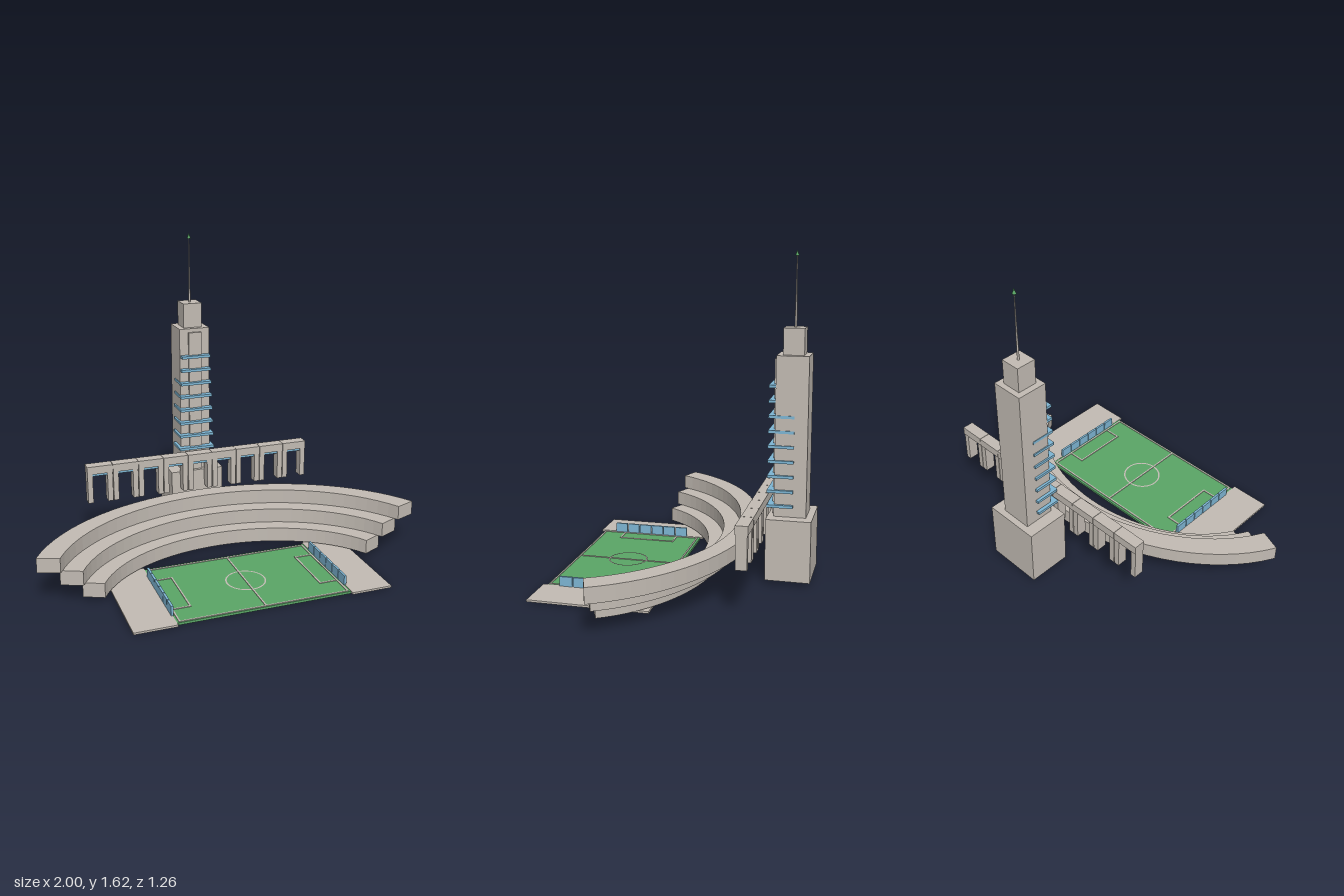
import * as THREE from 'three';

const mat = (name, color) => {
  const m = new THREE.MeshStandardMaterial({ color });
  m.name = name;
  return m;
};

export function createModel() {
  const root = new THREE.Group();
  root.name = 'stadium';
  const stone = mat('stone', 0xc2bbb3);
  const grass = mat('grass', 0x5aa566);
  const blue = mat('blue', 0x7eb6d4);

  const group = (name) => {
    const g = new THREE.Group();
    g.name = name;
    root.add(g);
    return g;
  };
  const add = (parent, name, geo, material) => {
    const m = new THREE.Mesh(geo, material);
    m.name = name;
    parent.add(m);
    return m;
  };
  // Box given by its lower and upper limits
  const box = (parent, name, material, x0, x1, y0, y1, z0, z1) => {
    const m = add(parent, name, new THREE.BoxGeometry(x1 - x0, y1 - y0, z1 - z0), material);
    m.position.set((x0 + x1) / 2, (y0 + y1) / 2, (z0 + z1) / 2);
    return m;
  };

  // Pitch and side aprons
  const pitch = group('pitch');
  box(pitch, 'grass', grass, -0.44, 0.44, 0, 0.012, 0.05, 0.61);
  for (const s of [-1, 1]) {
    const a = s * 0.44, b = s * 0.65;
    box(pitch, 'apron', stone, Math.min(a, b), Math.max(a, b), 0.004, 0.014, 0.035, 0.63);
  }

  // Pitch markings
  const line = (x0, x1, z0, z1) => box(pitch, 'marking', stone, x0, x1, 0.012, 0.015, z0, z1);
  const w = 0.008;
  for (const z of [0.062, 0.597]) line(-0.43, 0.43, z, z + w);
  line(-w / 2, w / 2, 0.062, 0.605);
  for (const s of [-1, 1]) {
    const bar = (a, b, z0, z1) => line(Math.min(s * a, s * b), Math.max(s * a, s * b), z0, z1);
    bar(0.422, 0.43, 0.062, 0.605);
    bar(0.332, 0.34, 0.18, 0.488);
    bar(0.332, 0.43, 0.18, 0.188);
    bar(0.332, 0.43, 0.48, 0.488);
  }
  const ring = add(pitch, 'centreCircle', new THREE.RingGeometry(0.094, 0.102, 40), stone);
  ring.rotation.x = -Math.PI / 2;
  ring.position.set(0, 0.015, 0.335);

  // Low blue panels along both ends of the pitch
  const panels = group('endPanels');
  for (const s of [-1, 1]) {
    for (let i = 0; i < 6; i++) {
      const z = 0.128 + i * 0.07;
      box(panels, 'panel', blue, s * 0.442 - 0.006, s * 0.442 + 0.006, 0.012, 0.062, z, z + 0.065);
    }
  }

  // Curved tiers: elliptical bands between an outer and an inner arc
  const T = THREE.MathUtils.degToRad(67), N = 32;
  const arc = (apex, xEnd, zEnd) => Array.from({ length: N + 1 }, (_, i) => {
    const s = -T + (2 * T * i) / N;
    const z = apex + ((zEnd - apex) * (1 - Math.cos(s))) / (1 - Math.cos(T));
    return new THREE.Vector2((xEnd * Math.sin(s)) / Math.sin(T), -z);
  });
  const stand = group('stand');
  const tiers = [
    // y, outer apex/x/z, inner apex/x/z
    [0.02, [-0.155, 0.793, 0.238], [-0.072, 0.695, 0.283]],
    [0.095, [-0.243, 0.895, 0.225], [-0.155, 0.793, 0.27]],
    [0.17, [-0.333, 1.0, 0.212], [-0.243, 0.895, 0.253]],
  ];
  for (const [y, outer, inner] of tiers) {
    const shape = new THREE.Shape([...arc(...outer), ...arc(...inner).reverse()]);
    const geo = new THREE.ExtrudeGeometry(shape, { depth: 0.075, bevelEnabled: false });
    geo.rotateX(-Math.PI / 2);
    add(stand, 'tier', geo, stone).position.y = y;
  }

  // Arcade of nine open bays
  const arcade = group('arcade');
  for (let i = 0; i < 9; i++) {
    const x = (i - 4) * 0.14;
    for (const s of [-1, 1]) {
      box(arcade, 'pillar', stone, x + s * 0.054 - 0.014, x + s * 0.054 + 0.014, 0.238, 0.4, -0.411, -0.358);
    }
    box(arcade, 'lintel', stone, x - 0.069, x + 0.069, 0.4, 0.443, -0.415, -0.355);
    box(arcade, 'bayShade', blue, x - 0.04, x + 0.04, 0.386, 0.4, -0.405, -0.365);
  }

  // Tower
  const tower = group('tower');
  box(tower, 'base', stone, -0.147, 0.147, 0.02, 0.33, -0.635, -0.412);
  box(tower, 'shaft', stone, -0.083, 0.083, 0.33, 1.125, -0.602, -0.443);
  box(tower, 'frontPilaster', stone, -0.035, 0.035, 0.33, 1.105, -0.443, -0.43);
  box(tower, 'cap', stone, -0.051, 0.051, 1.125, 1.255, -0.574, -0.471);

  // Blue fins, the lower ones wrapping round the sides
  for (let i = 0; i < 9; i++) {
    const y = 0.975 - i * 0.0738, half = 0.079 + i * 0.0025;
    box(tower, 'frontFin', blue, -half, half, y - 0.007, y + 0.007, -0.443, -0.409);
    if (i < 2) continue;
    for (const s of [-1, 1]) {
      const a = s * 0.08, b = s * (half + 0.002);
      box(tower, 'sideFin', blue, Math.min(a, b), Math.max(a, b), y - 0.007, y + 0.007, -0.537, -0.411);
    }
  }

  // Mast and its tip
  const mast = add(tower, 'mast', new THREE.CylinderGeometry(0.002, 0.006, 0.345, 8), stone);
  mast.position.set(0, 1.4275, -0.523);
  const tip = add(tower, 'mastTip', new THREE.ConeGeometry(0.01, 0.028, 8), grass);
  tip.position.set(0, 1.608, -0.523);

  return root;
}
